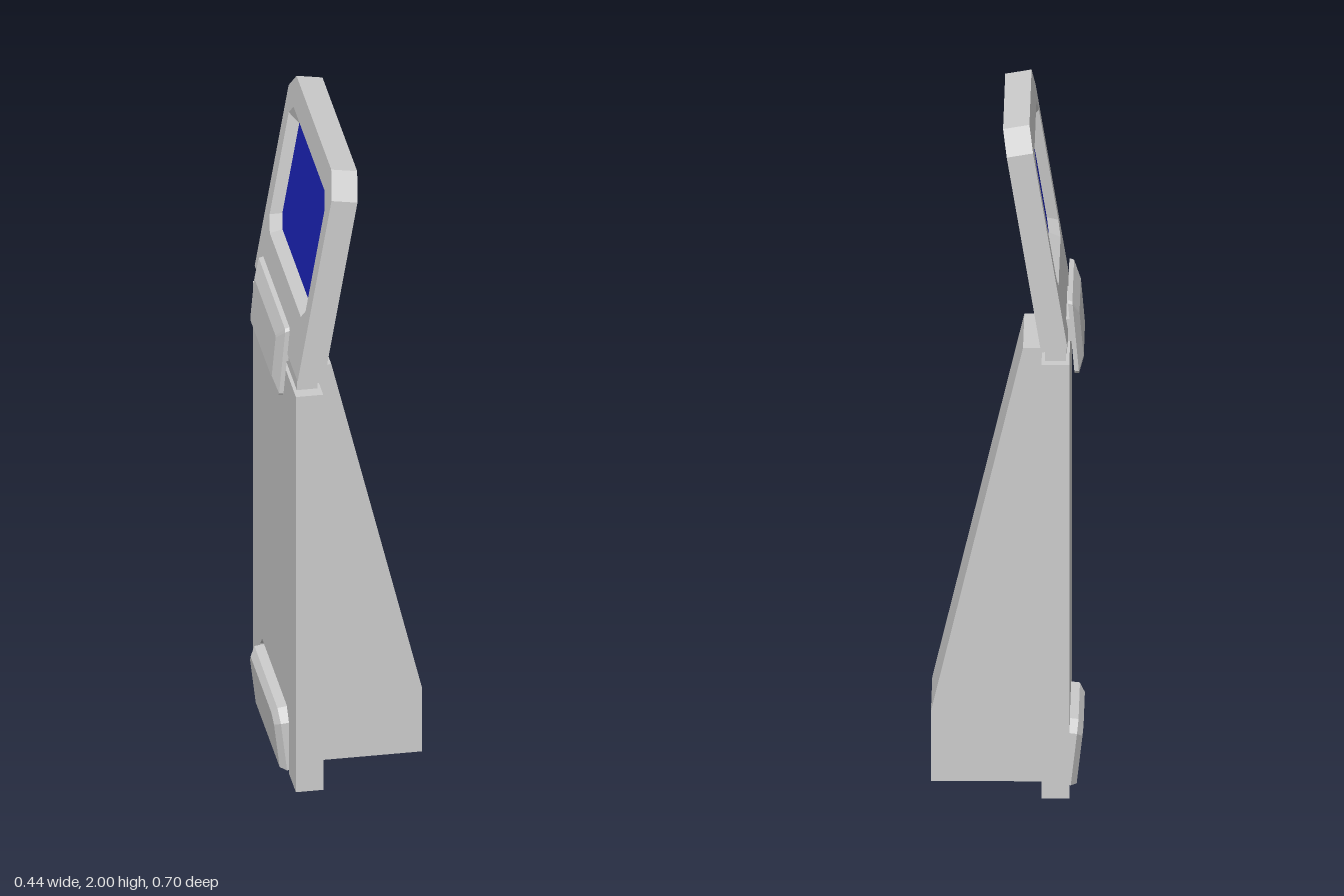
import * as THREE from 'three';

const grey = new THREE.MeshStandardMaterial({ color: 0xcccccc, flatShading: true });
const blue = new THREE.MeshStandardMaterial({ color: 0x1a22b4, flatShading: true });

// Eight-point rectangle in the z/y plane at depth x; top and bottom corners chamfered
function ring(x, halfZ, y0, y1, top, bottom = 0) {
  return [
    [-halfZ + bottom, y0], [halfZ - bottom, y0], [halfZ, y0 + bottom], [halfZ, y1 - top],
    [halfZ - top, y1], [-halfZ + top, y1], [-halfZ, y1 - top], [-halfZ, y0 + bottom],
  ].map(([z, y]) => new THREE.Vector3(x, y, z));
}

// Skin successive rings, running toward -x, with optional end caps
function loft(rings, capStart = true, capEnd = true) {
  const tris = [];
  const n = rings[0].length;
  for (let r = 0; r < rings.length - 1; r++) {
    const p = rings[r], q = rings[r + 1];
    for (let i = 0; i < n; i++) {
      const j = (i + 1) % n;
      tris.push(p[i], p[j], q[j], p[i], q[j], q[i]);
    }
  }
  const first = rings[0], last = rings[rings.length - 1];
  for (let i = 1; i < n - 1; i++) {
    if (capStart) tris.push(first[0], first[i + 1], first[i]);
    if (capEnd) tris.push(last[0], last[i], last[i + 1]);
  }
  const g = new THREE.BufferGeometry().setFromPoints(tris);
  g.computeVertexNormals();
  return g;
}

function add(parent, name, geometry, material = grey) {
  const mesh = new THREE.Mesh(geometry, material);
  mesh.name = name;
  parent.add(mesh);
  return mesh;
}

function box(x0, x1, y0, y1, halfZ) {
  return new THREE.BoxGeometry(x1 - x0, y1 - y0, 2 * halfZ).translate((x0 + x1) / 2, (y0 + y1) / 2, 0);
}

function tilted(parent, name, x, y, angle) {
  const g = new THREE.Group();
  g.name = name;
  g.position.set(x, y, 0);
  g.rotation.z = angle;
  parent.add(g);
  return g;
}

function polygon(points) {
  return new THREE.Shape(points.map(([x, y]) => new THREE.Vector2(x, y)));
}

export function createModel() {
  const model = new THREE.Group();
  model.name = 'device';

  // Upright slab with a shallow notch at its foot for the lower catch
  const slab = polygon([
    [-0.35, 0], [-0.235, 0], [-0.235, 0.17], [-0.2, 0.205], [0.2, 0.205], [0.235, 0.17],
    [0.235, 0], [0.35, 0], [0.35, 1.3], [-0.35, 1.3],
  ]);
  add(model, 'bodySlab', new THREE.ExtrudeGeometry(slab, { depth: 0.06, bevelEnabled: false })
    .rotateY(-Math.PI / 2).translate(-0.12, 0, 0));
  add(model, 'bodyBacking', box(-0.12, -0.1, 0, 1.3, 0.35));

  // Tapering grip
  const wedge = polygon([[-0.1, 0], [0.22, 0], [0.22, 0.21], [-0.045, 1.3], [-0.1, 1.3]]);
  add(model, 'wedgeGrip', new THREE.ExtrudeGeometry(wedge, { depth: 0.35, bevelEnabled: false })
    .translate(0, 0, -0.175));

  // Hinge between body and lid
  add(model, 'hinge', box(-0.17, -0.11, 1.3, 1.36, 0.31));

  // Leaning lid with a recessed screen
  const lid = tilted(model, 'lid', -0.175, 1.35, -0.168);
  const floor = ring(0.03, 0.268, 0.185, 0.55, 0.035, 0.035);
  add(lid, 'lidFrame', loft([
    ring(0.077, 0.35, 0, 0.66, 0.067),
    ring(0, 0.35, 0, 0.66, 0.067),
    ring(0, 0.293, 0.16, 0.575, 0.04, 0.04),
    floor,
  ], true, false));
  const screen = new THREE.BufferGeometry().setFromPoints(
    [1, 2, 3, 4, 5, 6].flatMap((i) => [floor[0], floor[i], floor[i + 1]]));
  screen.computeVertexNormals();
  add(lid, 'screen', screen, blue);

  // Upper catch, standing just off the lid on a short bridge
  const upper = tilted(model, 'upperCatch', -0.195, 1.236, -0.09);
  add(upper, 'upperCatchPlate', loft([
    ring(0.001, 0.222, 0, 0.22, 0.008, 0.008),
    ring(-0.012, 0.222, 0, 0.215, 0.008, 0.008),
    ring(-0.028, 0.175, 0.035, 0.17, 0.005, 0.005),
  ]));
  add(model, 'upperCatchBridge', box(-0.19, -0.16, 1.32, 1.385, 0.17));

  // Lower catch, set in the notch
  const lower = tilted(model, 'lowerCatch', -0.15, 0.006, 0.117);
  add(lower, 'lowerCatchPlate', loft([
    ring(0.01, 0.222, 0, 0.19, 0.035),
    ring(-0.033, 0.222, 0, 0.19, 0.035),
    ring(-0.05, 0.195, 0, 0.168, 0.025),
  ]));

  return model;
}
